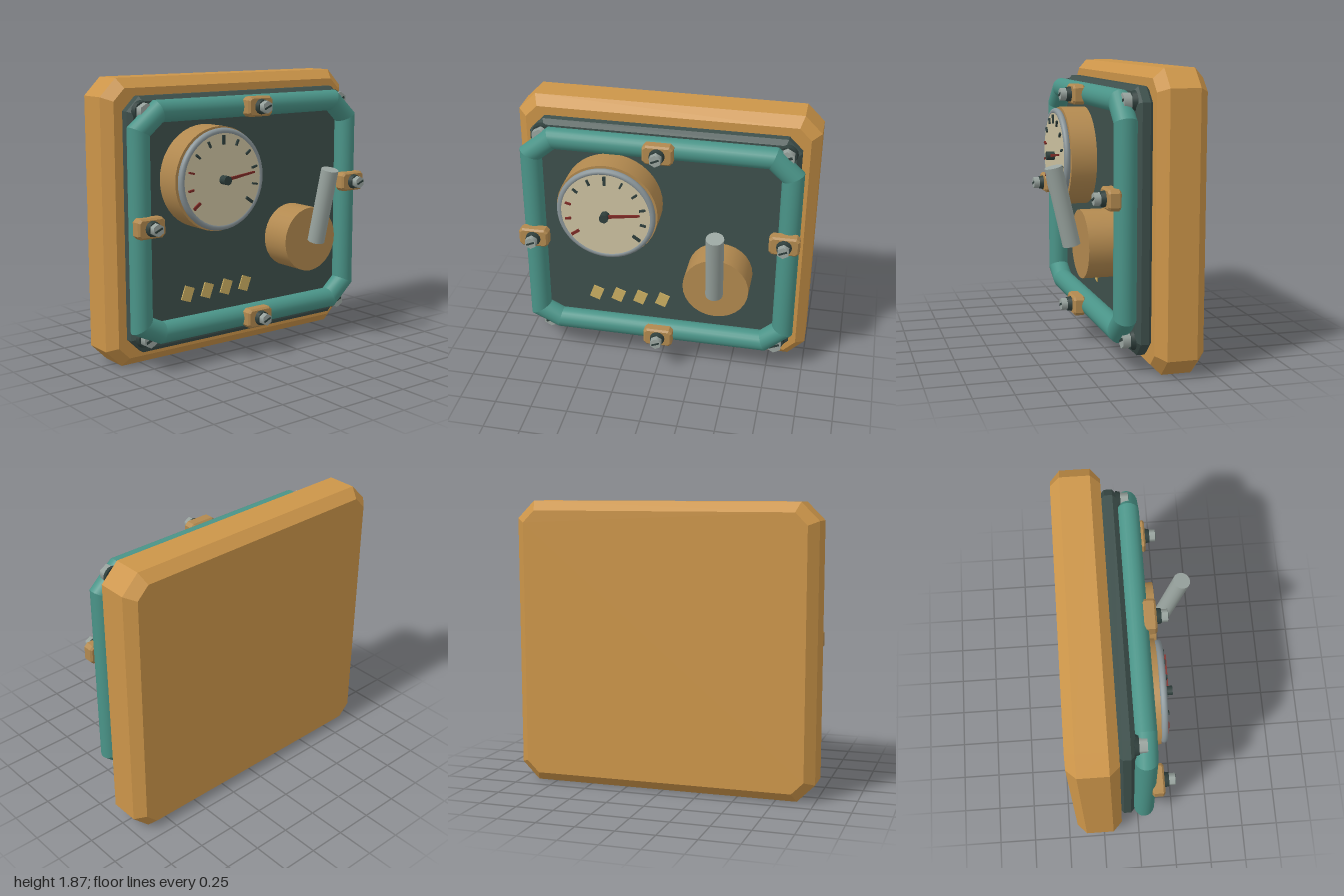
import * as THREE from 'three';

const mat = (name, color, extra = {}) => Object.assign(new THREE.MeshStandardMaterial({ color, ...extra }), { name });

export function createModel() {
  const root = new THREE.Group();
  root.name = 'controlPanel';
  const wood = mat('ochre case', 0xcc9549);
  const brass = mat('brass', 0xb2894f);
  const teal = mat('teal pipe', 0x4a9488, { side: THREE.DoubleSide });
  const slate = mat('slate panel', 0x3e504c);
  const steel = mat('pale steel', 0x9aa5a0);
  const rim = mat('rim steel', 0x8a9599);
  const dark = mat('dark iron', 0x2f3f3c);
  const cream = mat('cream dial', 0xcdc2a1);
  const red = mat('red marking', 0x7c2a25);
  const gold = mat('yellow label', 0xccb062);

  const add = (name, geo, material, x = 0, y = 0, z = 0, parent = root) => {
    const m = new THREE.Mesh(geo, material);
    m.name = name;
    m.position.set(x, y, z);
    parent.add(m);
    return m;
  };

  // Slab with cut corners and bevelled edges, from z0 to z1
  const slab = (w, h, cut, bevel, z0, z1) => {
    const a = w / 2 - bevel, b = h / 2 - bevel, c = cut - bevel * 0.586;
    const s = new THREE.Shape([
      [a - c, -b], [a, -b + c], [a, b - c], [a - c, b],
      [-a + c, b], [-a, b - c], [-a, -b + c], [-a + c, -b],
    ].map(([x, y]) => new THREE.Vector2(x, y)));
    const g = new THREE.ExtrudeGeometry(s, {
      depth: z1 - z0 - 2 * bevel, bevelEnabled: true, bevelSegments: 1,
      bevelSize: bevel, bevelThickness: bevel,
    });
    return g.translate(0, 0, z0 + bevel);
  };

  // Cylinder along z, from z0 to z1
  const disc = (r0, r1, z0, z1, sides) =>
    new THREE.CylinderGeometry(r1, r0, z1 - z0, sides).rotateX(Math.PI / 2).translate(0, 0, (z0 + z1) / 2);

  // Case and panel
  add('case', slab(2, 1.87, 0.115, 0.062, -0.435, -0.12), wood, 0, 0.935);
  add('panel', slab(1.78, 1.65, 0.09, 0.03, -0.13, -0.02), slate, 0, 0.935);

  // Mitred pipe loop around the panel
  const pipe = new THREE.Group();
  pipe.name = 'pipeFrame';
  root.add(pipe);
  const path = [
    [-0.72, 0.25], [0.72, 0.25], [0.85, 0.365], [0.85, 1.55],
    [0.72, 1.67], [-0.72, 1.67], [-0.865, 1.55], [-0.865, 0.32],
  ].map(([x, y]) => new THREE.Vector2(x, y));
  const n = path.length, SIDES = 20, R = 0.071, PIPE_Z = 0.042;
  const mitres = path.map((p, i) => {
    const d0 = p.clone().sub(path[(i + n - 1) % n]).normalize();
    const d1 = path[(i + 1) % n].clone().sub(p).normalize();
    const m = new THREE.Vector2(d0.y + d1.y, -d0.x - d1.x).normalize();
    return m.divideScalar(m.x * d1.y - m.y * d1.x);
  });
  for (let i = 0; i < n; i++) {
    const pos = [], idx = [];
    for (const k of [i, (i + 1) % n]) {
      for (let j = 0; j < SIDES; j++) {
        const a = (j / SIDES) * Math.PI * 2, c = Math.cos(a) * R;
        pos.push(path[k].x + mitres[k].x * c, path[k].y + mitres[k].y * c, PIPE_Z + Math.sin(a) * R);
      }
    }
    for (let j = 0; j < SIDES; j++) {
      const k = (j + 1) % SIDES;
      idx.push(j, j + SIDES, k, k, j + SIDES, k + SIDES);
    }
    // Flip so that faces point outwards
    for (let t = 0; t < idx.length; t += 3) [idx[t + 1], idx[t + 2]] = [idx[t + 2], idx[t + 1]];
    const g = new THREE.BufferGeometry();
    g.setAttribute('position', new THREE.Float32BufferAttribute(pos, 3));
    g.setIndex(idx);
    g.computeVertexNormals();
    add('pipeSection', g, teal, 0, 0, 0, pipe);
  }

  // Slotted hex bolt on a dark washer
  const bolt = (name, x, y, z, r, washerDepth, headDepth) => {
    const g = new THREE.Group();
    g.name = name;
    g.position.set(x, y, z);
    root.add(g);
    add('washer', disc(r * 1.25, r * 1.1, 0, washerDepth, 16), dark, 0, 0, 0, g);
    add('boltHead', disc(r, r, washerDepth, washerDepth + headDepth, 6), steel, 0, 0, 0, g);
    const slot = add('slot', new THREE.BoxGeometry(r * 1.4, r * 0.3, 0.008), dark, 0, 0, washerDepth + headDepth, g);
    slot.rotation.z = 0.42;
  };

  // Pipe clamps
  for (const [x, y] of [[0, 1.67], [0, 0.25], [-0.85, 0.965], [0.83, 1.1]]) {
    add('clamp', slab(0.2, 0.13, 0.022, 0.012, 0.085, 0.165), brass, x, y);
    bolt('clampBolt', x, y, 0.163, 0.041, 0.032, 0.04);
  }

  // Panel corner bolts
  for (const x of [-0.8, 0.8]) for (const y of [0.215, 1.67]) bolt('cornerBolt', x, y, -0.03, 0.055, 0.03, 0.05);

  // Gauge
  const gauge = new THREE.Group();
  gauge.name = 'gauge';
  gauge.position.set(-0.335, 1.225, 0);
  root.add(gauge);
  add('gaugeBody', disc(0.338, 0.338, -0.03, 0.155, 40), brass, 0, 0, 0, gauge);
  add('gaugeRim', new THREE.TorusGeometry(0.308, 0.022, 12, 48), rim, 0, 0, 0.178, gauge);
  add('gaugeFace', disc(0.302, 0.302, 0.15, 0.197, 40), cream, 0, 0, 0, gauge);
  for (let i = 0; i <= 10; i++) {
    const a = THREE.MathUtils.degToRad(216 - i * 25.2);
    const major = i % 5 === 0;
    const tick = add('tick', new THREE.BoxGeometry(major ? 0.06 : 0.04, major ? 0.018 : 0.013, 0.014),
      i < 3 ? red : dark, Math.cos(a) * 0.255, Math.sin(a) * 0.255, 0.203, gauge);
    tick.rotation.z = a;
  }
  const needleShape = new THREE.Shape([
    new THREE.Vector2(-0.02, -0.011), new THREE.Vector2(0.235, -0.006),
    new THREE.Vector2(0.235, 0.006), new THREE.Vector2(-0.02, 0.011),
  ]);
  const needle = add('needle', new THREE.ExtrudeGeometry(needleShape, { depth: 0.012, bevelEnabled: false }),
    red, 0, 0, 0.216, gauge);
  needle.rotation.z = 0.14;
  add('needleHub', disc(0.03, 0.03, 0.19, 0.252, 12), dark, 0, 0, 0, gauge);

  // Lever on its round base
  add('leverBase', disc(0.22, 0.22, -0.03, 0.202, 28), brass, 0.4, 0.745);
  const from = new THREE.Vector3(0.402, 0.742, 0.26), to = new THREE.Vector3(0.413, 1.245, 0.378);
  const axis = to.clone().sub(from);
  const lever = add('leverHandle', new THREE.CylinderGeometry(0.058, 0.058, axis.length(), 18), steel);
  lever.position.copy(from).add(to).multiplyScalar(0.5);
  lever.quaternion.setFromUnitVectors(new THREE.Vector3(0, 1, 0), axis.normalize());

  // Row of tilted labels
  for (let i = 0; i < 4; i++) {
    const label = add('label', new THREE.BoxGeometry(0.076, 0.098, 0.009), gold, -0.47 + i * 0.157, 0.453, -0.016);
    label.rotation.z = -0.36;
  }

  return root;
}
